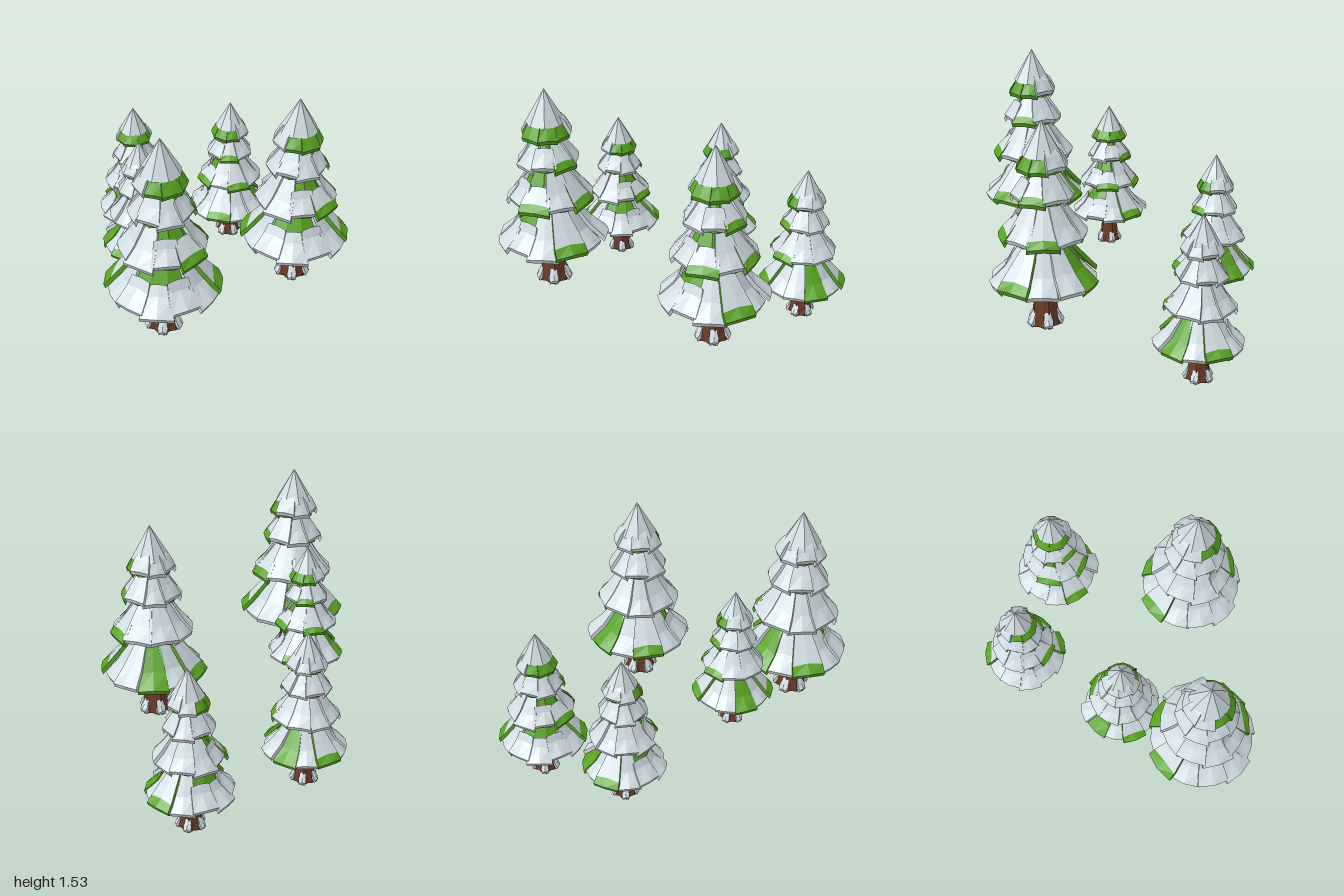
import * as THREE from 'three';

const mat = (name, color) => {
  const m = new THREE.MeshStandardMaterial({ color });
  m.name = name;
  return m;
};
const snow = mat('snow', 0xd0dce1);
const green = mat('needles', 0x58a322);
const bark = mat('bark', 0x6e3d29);

const mesh = (name, geo, material) => {
  const m = new THREE.Mesh(geo, material);
  m.name = name;
  return m;
};
const faceted = (geo) => {
  const g = geo.toNonIndexed();
  g.computeVertexNormals();
  return g;
};

// Bent slab lying along a direction: three sections of [radius, height, half width].
// Groups: 0 inner half of the top, 1 outer half and rim, 2 underside.
function slab(sections, angle, thick, droop) {
  const a = THREE.MathUtils.degToRad(angle);
  const c = Math.cos(a), s = Math.sin(a);
  const point = (i, j, below) => {
    const [r, y, w] = sections[i];
    const side = j - 1;
    const out = (side && i === 2 ? r * 0.95 : r) - (below ? thick * 0.4 : 0);
    const h = y - Math.abs(side) * w * droop - (below ? thick : 0);
    return [c * out - s * w * side, h, s * out + c * w * side];
  };
  const pos = [];
  const quad = (p, q, r, t) => pos.push(...p, ...q, ...r, ...p, ...r, ...t);
  for (let i = 0; i < 2; i++) for (let j = 0; j < 2; j++)
    quad(point(i, j), point(i, j + 1), point(i + 1, j + 1), point(i + 1, j));
  // rim, walked once around the outline
  const loop = [];
  for (let k = 0; k < 2; k++) loop.push([2, k]);
  for (let k = 2; k > 0; k--) loop.push([k, 2]);
  for (let k = 2; k > 0; k--) loop.push([0, k]);
  for (let k = 0; k < 2; k++) loop.push([k, 0]);
  loop.forEach(([i, j], k) => {
    const [m, n] = loop[(k + 1) % loop.length];
    quad(point(i, j), point(m, n), point(m, n, true), point(i, j, true));
  });
  const topCount = pos.length / 3;
  for (let i = 0; i < 2; i++) for (let j = 0; j < 2; j++)
    quad(point(i, j, true), point(i + 1, j, true), point(i + 1, j + 1, true), point(i, j + 1, true));

  const g = new THREE.BufferGeometry();
  g.setAttribute('position', new THREE.Float32BufferAttribute(pos, 3));
  g.addGroup(0, 12, 0);
  g.addGroup(12, topCount - 12, 1);
  g.addGroup(topCount, pos.length / 3 - topCount, 2);
  g.computeVertexNormals();
  return g;
}

const blend = (p, q, t) => p.map((v, i) => v + (q[i] - v) * t);

// One ring of boughs around a closed green core.
// profile: inner, middle and outer [radius, height] of a bough.
// bare: boughs without snow; dusted: snow on the inner part only;
// short: snow that starts lower and leaves the core showing; narrow: one slim bough.
function buildTier({ profile, count, start, bare = [], dusted = [], short = [], narrow = -1 }) {
  const tier = new THREE.Group();
  tier.name = 'branchTier';
  const [inner, middle, outer] = profile;
  const foot = outer[1] - 0.026;
  const core = [
    [0.045, foot + 0.08], [outer[0] * 0.6, foot + 0.035], [outer[0] * 0.88, foot],
    [middle[0] * 0.88, middle[1]], [inner[0] * 0.7, inner[1] + 0.04],
  ].map(([r, y]) => new THREE.Vector2(r, y));
  tier.add(mesh('tierCore', faceted(new THREE.LatheGeometry(core, count)), green));

  const spread = Math.tan(Math.PI / count) * 1.1;
  for (let k = 0; k < count; k++) {
    const isBare = bare.includes(k), isDusted = dusted.includes(k);
    const reach = k === narrow ? 1.06 : isDusted ? 1.04 : 0.98 + 0.035 * Math.cos(k * 2.4);
    const lift = isBare ? -0.006 : k % 2 ? -0.003 : 0.014;
    const width = spread * (k === narrow ? 0.82 : 1);
    const shape = [
      short.includes(k) ? blend(inner, middle, 0.6) : inner,
      isDusted ? blend(middle, outer, 0.45) : middle,
      outer,
    ];
    const sections = shape.map(([r, y], i) => {
      const out = i ? r * reach : r;
      return [out, y + lift, out * width * (i === 2 ? 0.92 : 1.04)];
    });
    const geo = slab(sections, start + (k * 360) / count, 0.024, 0.12);
    const name = isBare ? 'bareBough' : isDusted ? 'dustedBough' : 'snowyBough';
    tier.add(mesh(name, geo, [isBare ? green : snow, isBare || isDusted ? green : snow, green]));
  }
  return tier;
}

function buildTrunk() {
  const trunk = new THREE.Group();
  trunk.name = 'trunk';
  const height = 0.45;
  const geo = new THREE.CylinderGeometry(0.05, 0.064, height, 15, 6);
  geo.translate(0, height / 2, 0);
  // flare the foot into five roots
  const p = geo.attributes.position;
  for (let i = 0; i < p.count; i++) {
    const x = p.getX(i), y = p.getY(i), z = p.getZ(i);
    const flare = Math.max(0, 1 - y / 0.19) ** 2;
    const k = 1 + flare * (0.28 + 0.25 * Math.cos(5 * Math.atan2(z, x)));
    p.setXYZ(i, x * k, y, z * k);
  }
  trunk.add(mesh('trunkAndRoots', faceted(geo), bark));
  // snow lying on the roots
  const patch = [[0.066, 0.09, 0.016], [0.086, 0.055, 0.027], [0.104, 0.028, 0.022]];
  for (let i = 0; i < 5; i++) {
    trunk.add(mesh('rootSnow', slab(patch, i * 72, 0.018, 0.5), [snow, snow, snow]));
  }
  return trunk;
}

function buildTree() {
  const tree = new THREE.Group();
  tree.add(
    buildTrunk(),
    buildTier({
      profile: [[0.12, 0.475], [0.205, 0.35], [0.295, 0.277]], count: 11, start: -90,
      bare: [10], dusted: [2, 8], short: [4, 5, 6], narrow: 0,
    }),
    buildTier({
      profile: [[0.09, 0.7], [0.165, 0.59], [0.23, 0.525]], count: 9, start: -100,
      dusted: [1, 3], short: [3, 4],
    }),
    buildTier({
      profile: [[0.07, 0.865], [0.115, 0.8], [0.165, 0.738]], count: 8, start: -85,
      dusted: [1], short: [2],
    }),
    buildTier({
      profile: [[0.05, 1.0], [0.098, 0.955], [0.135, 0.898]], count: 8, start: -95,
      bare: [1, 2, 3, 4],
    }),
  );
  // pointed snow cap
  const cap = faceted(new THREE.ConeGeometry(0.108, 0.185, 8));
  cap.translate(0, 1.0425, 0);
  tree.add(mesh('snowCap', cap, snow));
  return tree;
}

export function createModel() {
  const model = new THREE.Group();
  model.name = 'snowyPines';
  const tree = buildTree();
  // x, base y, z, scale, turn in degrees
  const places = [
    [0.055, 0.395, 0.705, 1, 0],
    [0.485, 0.25, -0.155, 1, 0],
    [-0.235, 0.41, 0.325, 0.727, 74],
    [-0.55, 0.175, -0.28, 0.771, -36],
    [-0.117, 0, -0.735, 0.826, -110],
  ];
  places.forEach(([x, y, z, scale, turn], i) => {
    const t = tree.clone();
    t.name = i < 2 ? 'tallPine' : 'smallPine';
    t.position.set(x, y, z);
    t.scale.setScalar(scale);
    t.rotation.y = THREE.MathUtils.degToRad(turn);
    model.add(t);
  });
  return model;
}
